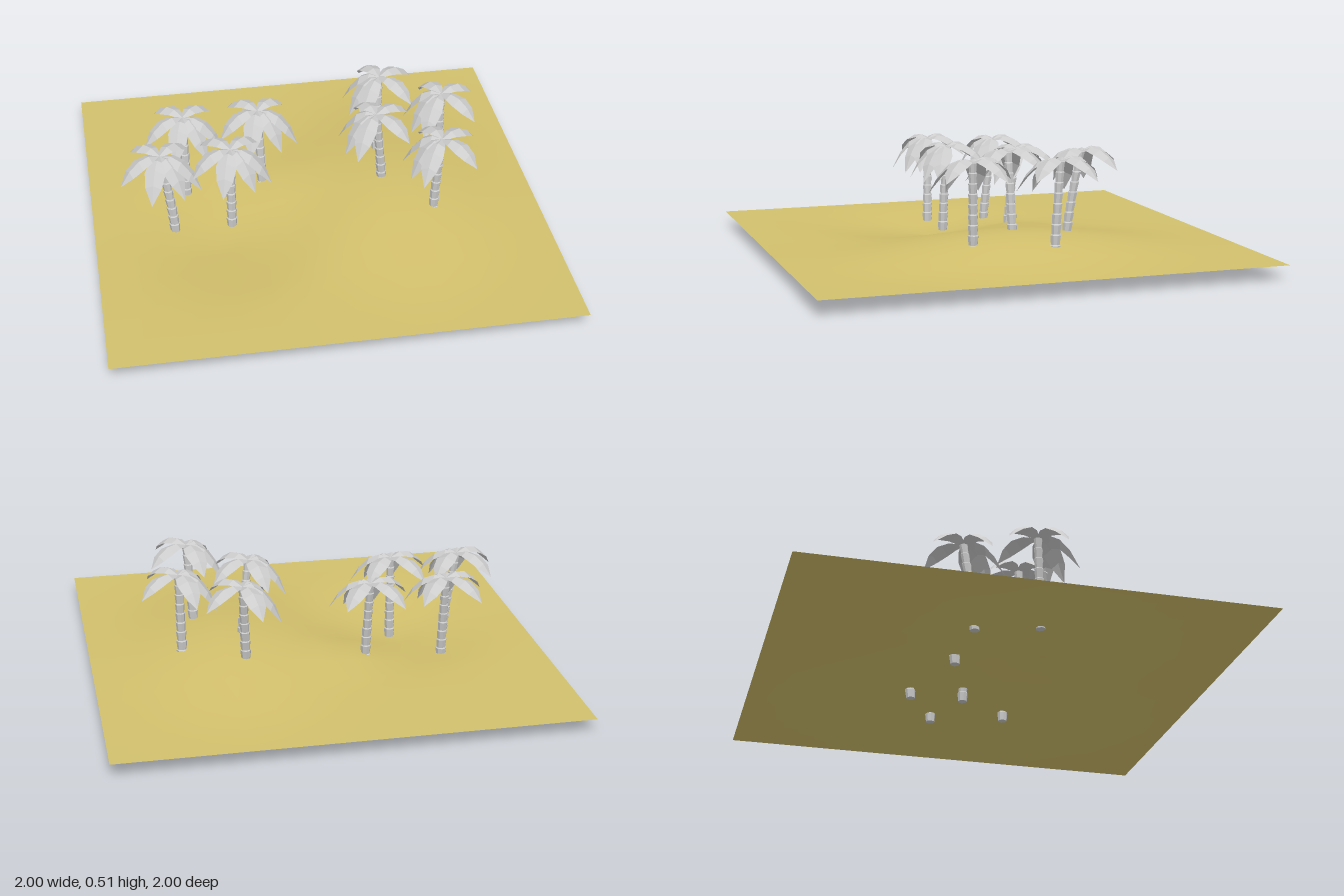
import * as THREE from 'three';

const sand = new THREE.MeshStandardMaterial({ color: 0xd2c06c, side: THREE.DoubleSide });
sand.name = 'sand';
const grey = new THREE.MeshStandardMaterial({ color: 0xcccccc, side: THREE.DoubleSide });
grey.name = 'pale grey';

// Ground height: broad hill, conical hollow and a small rise
function groundHeight(x, z) {
  const hill = Math.min(1, Math.hypot((x - 0.38) / 0.64, z / 0.97));
  const hollow = Math.min(1, Math.hypot((x + 0.4286) / 0.46, (z - 0.143) / 0.55));
  const rise = Math.min(1, Math.hypot((x + 0.143) / 0.26, (z + 0.143) / 0.3));
  return 0.065 + 0.046 * (1 + Math.cos(Math.PI * hill)) - 0.064 * (1 - hollow) + 0.035 * (1 - rise);
}

function makeGround() {
  const geo = new THREE.PlaneGeometry(2, 2, 14, 14).rotateX(-Math.PI / 2);
  const p = geo.attributes.position;
  for (let i = 0; i < p.count; i++) p.setY(i, groundHeight(p.getX(i), p.getZ(i)));
  geo.computeVertexNormals();
  const mesh = new THREE.Mesh(geo, sand);
  mesh.name = 'ground';
  return mesh;
}

function faceted(geo) {
  const flat = geo.index ? geo.toNonIndexed() : geo;
  flat.computeVertexNormals();
  return flat;
}

// Leaf folded along its midrib, arching from the origin to its tip
function frondGeometry([x, y, z]) {
  const arch = new THREE.QuadraticBezierCurve3(
    new THREE.Vector3(), new THREE.Vector3(x * 0.55, y > -0.1 ? 0.06 : 0.045, z * 0.55), new THREE.Vector3(x, y, z));
  const across = new THREE.Vector3(z, 0, -x).normalize();
  const widths = [0.01, 0.034, 0.046, 0.036, 0];
  const verts = [], index = [];
  widths.forEach((w, i) => {
    const c = arch.getPoint(i / (widths.length - 1));
    for (const s of [-1, 0, 1]) {
      verts.push(c.x + across.x * w * s, c.y - Math.abs(s) * w * 0.4, c.z + across.z * w * s);
    }
    if (i === 0) return;
    for (let k = 0; k < 2; k++) {
      const a = (i - 1) * 3 + k, b = a + 3;
      index.push(a, b, a + 1, a + 1, b, b + 1);
    }
  });
  const geo = new THREE.BufferGeometry();
  geo.setAttribute('position', new THREE.Float32BufferAttribute(verts, 3));
  geo.setIndex(index);
  return faceted(geo);
}

// Ringed trunk bent from its base to its crown
function trunkGeometry(base, top) {
  const rings = 9, profile = [];
  for (let i = 0; i < rings; i++) {
    const r = 0.023 - 0.006 * (i / rings);
    profile.push(new THREE.Vector2(r * 0.9, i / rings), new THREE.Vector2(r * 1.06, (i + 0.9) / rings));
  }
  profile.unshift(new THREE.Vector2(0, 0));
  profile.push(new THREE.Vector2(0, 1));
  const geo = new THREE.LatheGeometry(profile, 8);
  const p = geo.attributes.position;
  for (let i = 0; i < p.count; i++) {
    const t = p.getY(i), bend = Math.pow(t, 1.3);
    p.setXYZ(i,
      p.getX(i) + base.x + (top.x - base.x) * bend,
      base.y + (top.y - base.y) * t,
      p.getZ(i) + base.z + (top.z - base.z) * bend);
  }
  return faceted(geo);
}

// Frond tips around the crown; those on the +z side droop most
const frondGeos = [
  [-0.12, -0.07, -0.155], [0.135, -0.07, -0.14], [-0.18, -0.09, 0.08],
  [0.17, -0.14, 0.09], [-0.055, -0.15, 0.165], [0.09, -0.15, 0.14],
].map(frondGeometry);

function makePalm(base, top, turn) {
  const palm = new THREE.Group();
  palm.name = 'palmTree';
  const trunk = new THREE.Mesh(trunkGeometry(base, top), grey);
  trunk.name = 'trunk';
  const crown = new THREE.Group();
  crown.name = 'crown';
  for (const geo of frondGeos) {
    const frond = new THREE.Mesh(geo, grey);
    frond.name = 'frond';
    crown.add(frond);
  }
  crown.position.copy(top);
  crown.rotation.y = turn;
  palm.add(trunk, crown);
  return palm;
}

export function createModel() {
  const model = new THREE.Group();
  model.name = 'palmIsland';
  model.add(makeGround());

  // Two groves: each tree is base x, z then crown x, z
  const groves = [
    { name: 'hollowGrove', low: 0.03, high: 0.425, turn: 0, trees: [
      [-0.64, 0.08, -0.69, 0.06], [-0.385, 0.08, -0.38, 0.06],
      [-0.56, -0.18, -0.56, -0.23], [-0.21, -0.18, -0.22, -0.23]] },
    { name: 'hillGrove', low: 0.09, high: 0.49, turn: -1.7, trees: [
      [0.34, -0.26, 0.36, -0.32], [0.6, -0.11, 0.61, -0.13],
      [0.32, -0.02, 0.285, -0.01], [0.505, 0.22, 0.53, 0.23]] },
  ];
  for (const { name, low, high, turn, trees } of groves) {
    const grove = new THREE.Group();
    grove.name = name;
    for (const [bx, bz, tx, tz] of trees) {
      grove.add(makePalm(new THREE.Vector3(bx, low, bz), new THREE.Vector3(tx, high, tz), turn));
    }
    model.add(grove);
  }
  return model;
}
